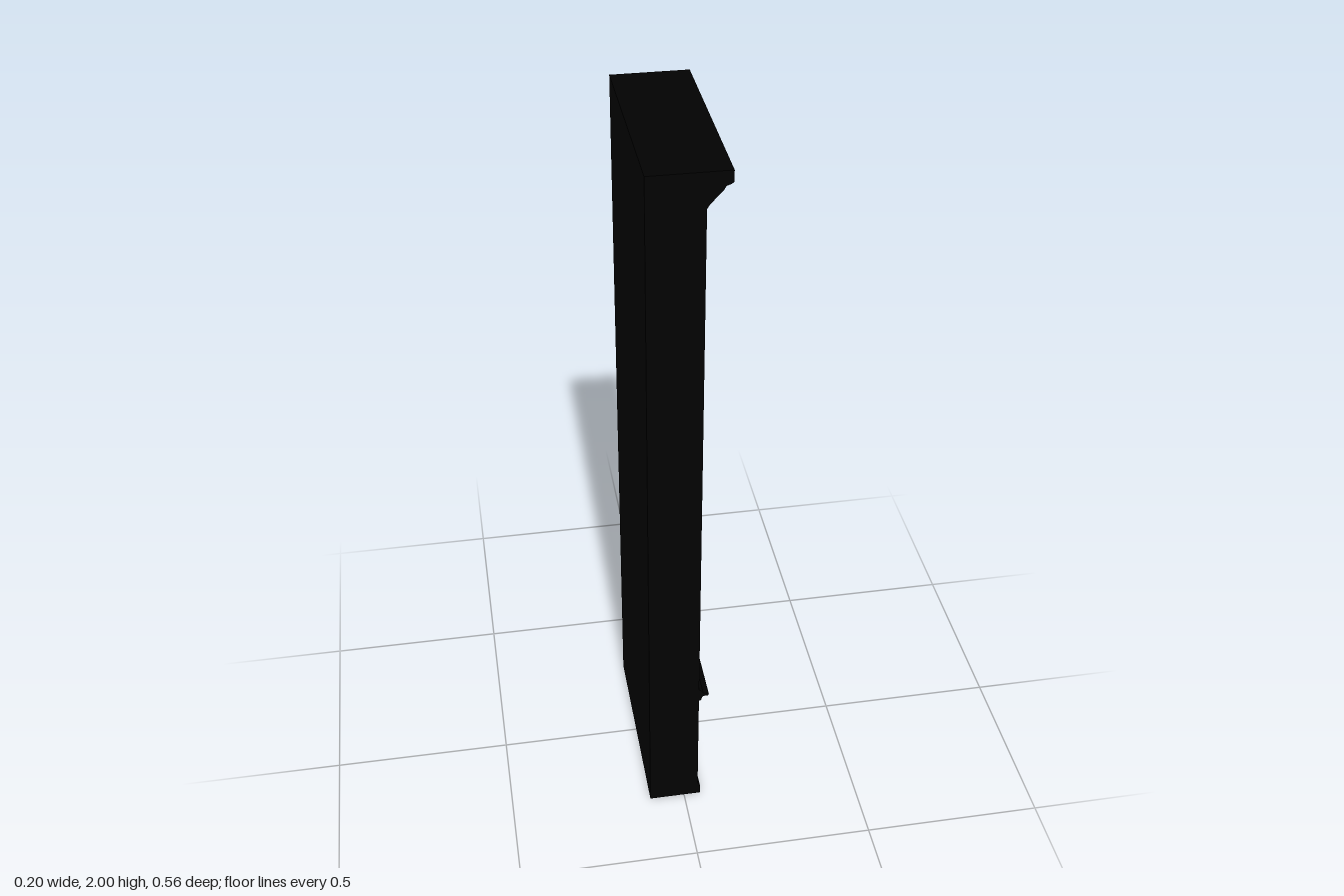
import * as THREE from 'three';

const HALF = 0.281; // half the length along z
const FACE = 0.04; // x of the plain wall face

export function createModel() {
  const group = new THREE.Group();
  const material = new THREE.MeshStandardMaterial({ color: 0x020202, flatShading: true });

  function add(name, geometry) {
    const mesh = new THREE.Mesh(geometry, material);
    mesh.name = name;
    group.add(mesh);
  }

  // Runs an x-y profile along the full length of the wall
  function moulding(name, points) {
    const shape = new THREE.Shape(points.map(([x, y]) => new THREE.Vector2(x, y)));
    const geometry = new THREE.ExtrudeGeometry(shape, { depth: 2 * HALF, bevelEnabled: false });
    add(name, geometry.translate(0, 0, -HALF));
  }

  // Wall slab
  const wall = new THREE.BoxGeometry(FACE + 0.1, 2, 2 * HALF);
  add('wall', wall.translate((FACE - 0.1) / 2, 1, 0));

  // Crown moulding, stepped and sloped
  moulding('crownMoulding', [
    [FACE - 0.01, 1.91], [FACE, 1.91], [0.046, 1.92], [0.06, 1.935], [0.077, 1.953],
    [0.083, 1.963], [0.095, 1.967], [0.1, 1.972], [0.1, 2], [FACE - 0.01, 2],
  ]);

  // Thin chair rail with a projecting lip
  moulding('chairRail', [
    [FACE - 0.01, 0.382], [0.046, 0.382], [0.049, 0.394], [0.053, 0.398], [0.066, 0.398],
    [0.068, 0.403], [0.066, 0.408], [0.052, 0.409], [0.046, 0.418], [FACE, 0.424], [FACE - 0.01, 0.424],
  ]);

  // Baseboard
  moulding('baseboard', [
    [FACE - 0.01, 0], [0.048, 0], [0.048, 0.025], [0.045, 0.035], [FACE, 0.043], [FACE - 0.01, 0.043],
  ]);

  // Mitred picture-frame moulding: rectangular loops stepped inward
  const steps = [[0, FACE], [0.004, 0.046], [0.01, 0.053], [0.018, 0.053], [0.024, 0.046], [0.03, FACE]];
  const corners = [[1, -1], [-1, -1], [-1, 1], [1, 1]]; // z, y signs
  const positions = [];
  const indices = [];
  steps.forEach(([inset, x]) => {
    for (const [z, y] of corners) positions.push(x, 0.205 + y * (0.157 - inset), z * (0.18 - inset));
  });
  for (let i = 0; i < steps.length - 1; i++) {
    for (let j = 0; j < 4; j++) {
      const a = i * 4 + j;
      const b = i * 4 + ((j + 1) % 4);
      indices.push(a, b, b + 4, a, b + 4, a + 4);
    }
  }
  const frame = new THREE.BufferGeometry();
  frame.setAttribute('position', new THREE.Float32BufferAttribute(positions, 3));
  frame.setIndex(indices);
  frame.computeVertexNormals();
  add('panelFrame', frame);

  return group;
}
